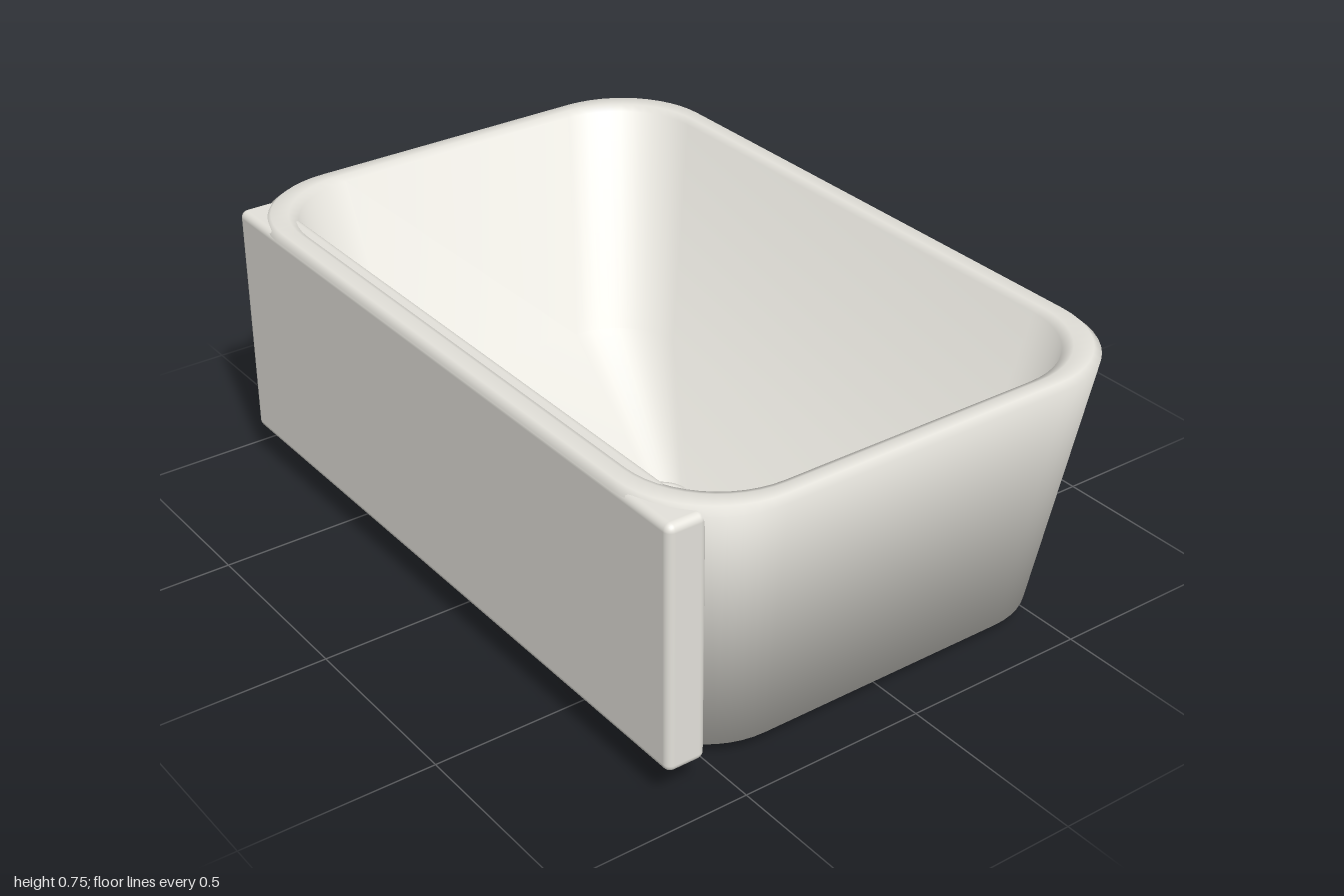
import * as THREE from 'three';
import { RoundedBoxGeometry } from 'three/addons/geometries/RoundedBoxGeometry.js';

const CORNER_STEPS = 12;

// Rounded rectangle in the xz plane, running from +x towards +z.
function roundedLoop([hx, hz, r, y]) {
  const points = [];
  const signs = [[1, 1], [-1, 1], [-1, -1], [1, -1]];
  signs.forEach(([sx, sz], corner) => {
    for (let i = 0; i <= CORNER_STEPS; i++) {
      const t = (corner + i / CORNER_STEPS) * Math.PI / 2;
      points.push(new THREE.Vector3(
        sx * (hx - r) + r * Math.cos(t), y, sz * (hz - r) + r * Math.sin(t)));
    }
  });
  return points;
}

// Skin through rounded rectangles; every face counts equally in the soft normals.
function loft(sections) {
  const points = sections.map(roundedLoop).flat();
  const n = points.length / sections.length;
  const normals = points.map(() => new THREE.Vector3());
  const triangle = new THREE.Triangle();
  const faceNormal = new THREE.Vector3();
  const index = [];
  for (let i = 0; i < sections.length - 1; i++) {
    for (let j = 0; j < n; j++) {
      const a = i * n + j, b = i * n + (j + 1) % n, c = a + n, d = b + n;
      for (const face of [[a, b, c], [b, d, c]]) {
        index.push(...face);
        triangle.set(...face.map((v) => points[v]));
        triangle.getNormal(faceNormal);
        face.forEach((v) => normals[v].add(faceNormal));
      }
    }
  }
  const flat = (list) => new THREE.Float32BufferAttribute(list.flatMap((v) => v.toArray()), 3);
  const geometry = new THREE.BufferGeometry();
  geometry.setAttribute('position', flat(points));
  geometry.setAttribute('normal', flat(normals.map((v) => v.normalize())));
  geometry.setIndex(index);
  return geometry;
}

export function createModel() {
  const group = new THREE.Group();
  const ceramic = new THREE.MeshStandardMaterial({ color: 0xe4e2db, side: THREE.DoubleSide });
  ceramic.name = 'glazed ceramic';

  function add(name, geometry, x = 0, y = 0, z = 0) {
    const mesh = new THREE.Mesh(geometry, ceramic);
    mesh.name = name;
    mesh.position.set(x, y, z);
    group.add(mesh);
  }

  // Basin: drain, sloping floor, inner wall, soft rim, outer wall, hollowed underside
  // Each section is half width, half depth, corner radius, height.
  add('basin', loft([
    [0.06, 0.06, 0.058, 0.04],
    [0.078, 0.078, 0.06, 0.075],
    [0.8, 0.482, 0.2, 0.125],
    [0.928, 0.597, 0.24, 0.735],
    [0.95, 0.618, 0.25, 0.745],
    [0.985, 0.655, 0.26, 0.745],
    [1.0, 0.67, 0.265, 0.73],
    [0.882, 0.586, 0.23, 0.035],
    [0.07, 0.07, 0.06, 0.07],
  ]));

  // Front apron panel
  add('frontApron', new RoundedBoxGeometry(1.874, 0.645, 0.105, 4, 0.02), 0, 0.4155, 0.6175);

  // Drain pipe with a flared collar
  const pipeProfile = [
    [0.056, 0.08], [0.056, 0], [0.063, 0], [0.063, 0.07],
    [0.08, 0.078], [0.078, 0.084], [0.066, 0.086], [0.056, 0.08],
  ].map(([r, y]) => new THREE.Vector2(r, y));
  add('drainPipe', new THREE.LatheGeometry(pipeProfile, 40));

  // Crossbar in the drain
  add('drainBar', new THREE.BoxGeometry(0.112, 0.012, 0.006), 0, 0.05, 0);

  return group;
}
